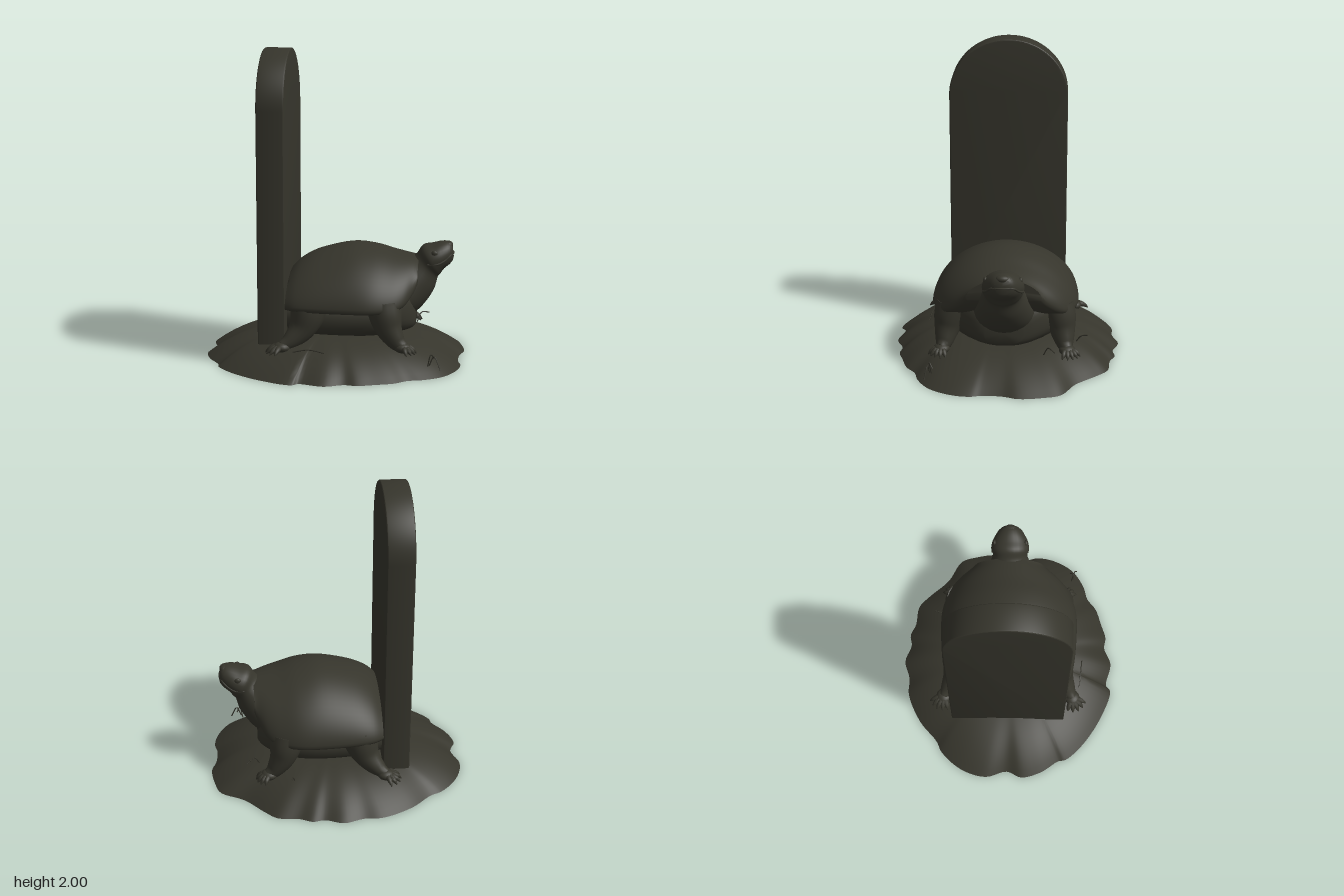
import * as THREE from 'three';
import { toCreasedNormals } from 'three/addons/utils/BufferGeometryUtils.js';

const V = (x, y, z) => new THREE.Vector3(x, y, z);

// Smoothly interpolate rows of numbers, n steps between neighbours
function refine(rows, n) {
  const out = [];
  for (let i = 0; i < rows.length - 1; i++) {
    const [a, b, c, d] = [rows[Math.max(i - 1, 0)], rows[i], rows[i + 1], rows[Math.min(i + 2, rows.length - 1)]];
    for (let k = 0; k < n; k++) {
      const t = k / n;
      out.push(b.map((v, j) => v + 0.5 * t * (c[j] - a[j] +
        t * (2 * a[j] - 5 * v + 4 * c[j] - d[j] + t * (3 * (v - c[j]) + d[j] - a[j])))));
    }
  }
  out.push(rows[rows.length - 1]);
  return out;
}

// Skin closed rings of points, with end caps where asked
function skin(rings, capStart = true, capEnd = true, crease = 0.9) {
  const m = rings[0].length, pos = [], idx = [];
  rings.forEach(r => r.forEach(p => pos.push(p.x, p.y, p.z)));
  for (let i = 0; i < rings.length - 1; i++) {
    for (let j = 0; j < m; j++) {
      const a = i * m + j, b = i * m + (j + 1) % m;
      idx.push(a, b, a + m, b, b + m, a + m);
    }
  }
  const cap = (ring, base, flip) => {
    const c = ring.reduce((s, p) => s.add(p), V(0, 0, 0)).divideScalar(m);
    const k = pos.length / 3;
    pos.push(c.x, c.y, c.z);
    for (let j = 0; j < m; j++) {
      const a = base + j, b = base + (j + 1) % m;
      idx.push(k, flip ? b : a, flip ? a : b);
    }
  };
  if (capStart) cap(rings[0], 0, true);
  if (capEnd) cap(rings[rings.length - 1], (rings.length - 1) * m, false);
  const g = new THREE.BufferGeometry();
  g.setAttribute('position', new THREE.Float32BufferAttribute(pos, 3));
  g.setIndex(idx);
  g.computeVertexNormals();
  return toCreasedNormals(g, crease);
}

// Round limb along rows of [x, y, z, radius]
function limb(rows, sides = 16, steps = 5) {
  const pts = refine(rows, steps);
  const rings = pts.map((p, i) => {
    const a = pts[Math.max(i - 1, 0)], b = pts[Math.min(i + 1, pts.length - 1)];
    const dir = V(b[0] - a[0], b[1] - a[1], b[2] - a[2]).normalize();
    const u = V(0.3, 0.2, 1).cross(dir).normalize(), w = dir.clone().cross(u);
    return Array.from({ length: sides }, (_, j) => {
      const t = j / sides * Math.PI * 2;
      return V(p[0], p[1], p[2]).addScaledVector(u, Math.cos(t) * p[3]).addScaledVector(w, Math.sin(t) * p[3]);
    });
  });
  return skin(rings);
}

export function createModel() {
  const model = new THREE.Group();
  model.name = 'turtleStele';
  const stone = new THREE.MeshStandardMaterial({ color: 0x36352c, side: THREE.DoubleSide });
  stone.name = 'darkStone';
  const add = (name, geo, parent = model) => {
    const mesh = new THREE.Mesh(geo, stone);
    mesh.name = name;
    parent.add(mesh);
    return mesh;
  };

  // Scalloped mound, hollow underneath; the scallops fade towards the middle
  const outline = [
    [.81, 0], [.84, -.1], [.82, -.25], [.78, -.36], [.63, -.45], [.5, -.59], [.42, -.66], [.28, -.68],
    [.2, -.715], [.12, -.705], [0, -.745], [-.13, -.71], [-.25, -.71], [-.45, -.62], [-.59, -.5],
    [-.67, -.46], [-.79, -.32], [-.84, -.15], [-.8, 0], [-.84, .1], [-.8, .24], [-.72, .36], [-.71, .41],
    [-.6, .53], [-.4, .66], [-.2, .73], [-.16, .7], [0, .735], [.12, .69], [.2, .7], [.3, .67],
    [.42, .63], [.5, .57], [.6, .54], [.72, .46], [.8, .32], [.82, .2], [.805, .13]];
  const edge = new THREE.CatmullRomCurve3(outline.map(([x, z]) => V(x, 0, z)), true).getPoints(190).slice(0, -1);
  const rings = [];
  for (let i = 1; i <= 20; i++) {
    const t = i / 20;
    rings.push(edge.map(p => {
      const k = THREE.MathUtils.lerp(1 / Math.hypot(p.x / .83, p.z / .73), 1, t ** 2) * t;
      return V(p.x * k, 0.21 * (1 - t ** 3.3), p.z * k);
    }));
  }
  add('mound', skin(rings, true, false));

  // Round-topped standing slab
  const s = new THREE.Shape();
  s.moveTo(-.38, .16);
  s.lineTo(.38, .16);
  s.lineTo(.38, 1.63);
  s.absellipse(0, 1.63, .38, .36, 0, Math.PI, false);
  s.closePath();
  const slab = new THREE.ExtrudeGeometry(s, {
    depth: .155, bevelThickness: .01, bevelSize: .01, bevelSegments: 3, curveSegments: 40 });
  slab.rotateY(Math.PI / 2).translate(-.45, 0, 0);
  add('slab', toCreasedNormals(slab, 0.5));

  const turtle = new THREE.Group();
  turtle.name = 'turtle';
  model.add(turtle);

  // Shell stations: x, half width, top, rim height
  const shellRows = refine([
    [-.29, .385, .57, .395], [-.22, .43, .635, .395], [-.1, .457, .695, .395], [.1, .472, .743, .395],
    [.25, .467, .734, .395], [.38, .425, .70, .4], [.46, .365, .682, .43], [.515, .28, .67, .495],
    [.54, .235, .662, .545]], 5);
  add('shell', skin(shellRows.map(([x, w, t, r]) => {
    const ring = [];
    for (let j = 0; j <= 32; j++) {
      const a = (j / 32 - 0.5) * Math.PI;
      ring.push(V(x, r + (t - r) * Math.pow(Math.max(Math.cos(a), 0), 1.28), w * Math.sin(a)));
    }
    for (const k of [.985, .95, .8, .4, 0, -.4, -.8, -.95, -.985])
      ring.push(V(x, r - (Math.abs(k) > .97 ? .014 : .02), w * k));
    return ring;
  })), turtle);

  // Body stations: x, half width, top, bottom
  const bodyRows = refine([
    [-.29, .3, .42, .18], [-.1, .35, .43, .16], [.15, .365, .44, .16], [.33, .34, .47, .17],
    [.44, .27, .5, .185], [.5, .19, .45, .2], [.525, .12, .36, .22]], 4);
  add('body', skin(bodyRows.map(([x, w, t, b]) => Array.from({ length: 32 }, (_, j) => {
    const a = j / 32 * Math.PI * 2, f = v => Math.sign(v) * Math.pow(Math.abs(v), .75);
    return V(x, (t + b) / 2 + (t - b) / 2 * f(Math.cos(a)), w * f(Math.sin(a)));
  })), 1.2), turtle);

  // Neck and head stations: x, y, pitch, half height, half width
  const headRows = refine([
    [.38, .40, .6, .17, .23], [.47, .445, .7, .145, .19], [.54, .53, .8, .133, .15], [.592, .602, .75, .103, .12],
    [.622, .643, .55, .109, .131], [.667, .669, .43, .09, .122], [.71, .689, .34, .08, .098],
    [.742, .703, .25, .064, .072], [.757, .707, .15, .044, .05]], 5);
  add('neckAndHead', skin(headRows.map(([x, y, p, h, w]) => Array.from({ length: 28 }, (_, j) => {
    const a = j / 28 * Math.PI * 2, n = h * Math.cos(a);
    return V(x - Math.sin(p) * n, y + Math.cos(p) * n, w * Math.sin(a));
  }))), turtle);
  const snout = add('snout', new THREE.SphereGeometry(.032, 16, 12), turtle);
  snout.scale.set(1, .75, 1.4);
  snout.position.set(.727, .742, 0);

  // Lip running round the jaw
  const lip = new THREE.CatmullRomCurve3([
    V(.6, .63, .122), V(.66, .632, .12), V(.71, .655, .096), V(.745, .685, .068), V(.761, .69, 0),
    V(.745, .685, -.068), V(.71, .655, -.096), V(.66, .632, -.12), V(.6, .63, -.122)]);
  add('lip', new THREE.TubeGeometry(lip, 48, .007, 8), turtle);

  // Legs with splayed toes: leg path, foot centre, toe heading and reach
  const legs = [
    ['frontLeg', [[.335, .41, .33, .11], [.35, .34, .352, .103], [.375, .265, .368, .083], [.425, .19, .385, .056], [.47, .162, .4, .034]],
      [.46, .164, .398], .45, .08],
    ['hindLeg', [[-.135, .41, .32, .12], [-.15, .33, .345, .11], [-.185, .25, .375, .083], [-.25, .185, .42, .054], [-.3, .16, .45, .032]],
      [-.297, .158, .45], Math.PI - .48, .092]];
  for (const side of [1, -1]) {
    for (const [name, path, [fx, fy, fz], heading, reach] of legs) {
      const leg = new THREE.Group();
      leg.name = (side > 0 ? 'left' : 'right') + name[0].toUpperCase() + name.slice(1);
      turtle.add(leg);
      add('limb', limb(path.map(([x, y, z, r]) => [x, y, z * side, r])), leg);
      const palm = add('palm', new THREE.SphereGeometry(.052, 18, 12), leg);
      palm.scale.set(1.05, .65, 1);
      palm.position.set(fx, fy - .004, fz * side);
      for (let k = -2; k <= 2; k++) {
        const a = heading + k * .4, c = Math.cos(a), d = Math.sin(a) * side;
        const at = (q, y, r) => [fx + c * q, fy + y, fz * side + d * q, r];
        add('toe', limb([at(.015, .002, .02), at(reach * .6, -.006, .018),
          at(reach * .88, -.018, .013), at(reach * 1.1, -.036, .003)], 8, 3), leg);
      }
    }
    const eye = add('eye', new THREE.SphereGeometry(.021, 14, 10), turtle);
    eye.scale.set(1, .9, .6);
    eye.position.set(.642, .702, .108 * side);
  }

  // Thin grass blades: root, bend, tip
  const blades = [
    [[.52, .15, -.25], [.55, .21, -.28], [.6, .2, -.32]], [[.3, .15, -.46], [.31, .19, -.49], [.32, .2, -.53]],
    [[.63, .07, .46], [.66, .13, .47], [.7, .05, .49]], [[.62, .06, .45], [.64, .14, .46], [.66, .11, .44]],
    [[-.22, .14, .5], [-.12, .16, .51], [-.02, .145, .52]]];
  for (const b of blades)
    add('grassBlade', new THREE.TubeGeometry(new THREE.CatmullRomCurve3(b.map(p => V(...p))), 12, .004, 5));

  return model;
}
